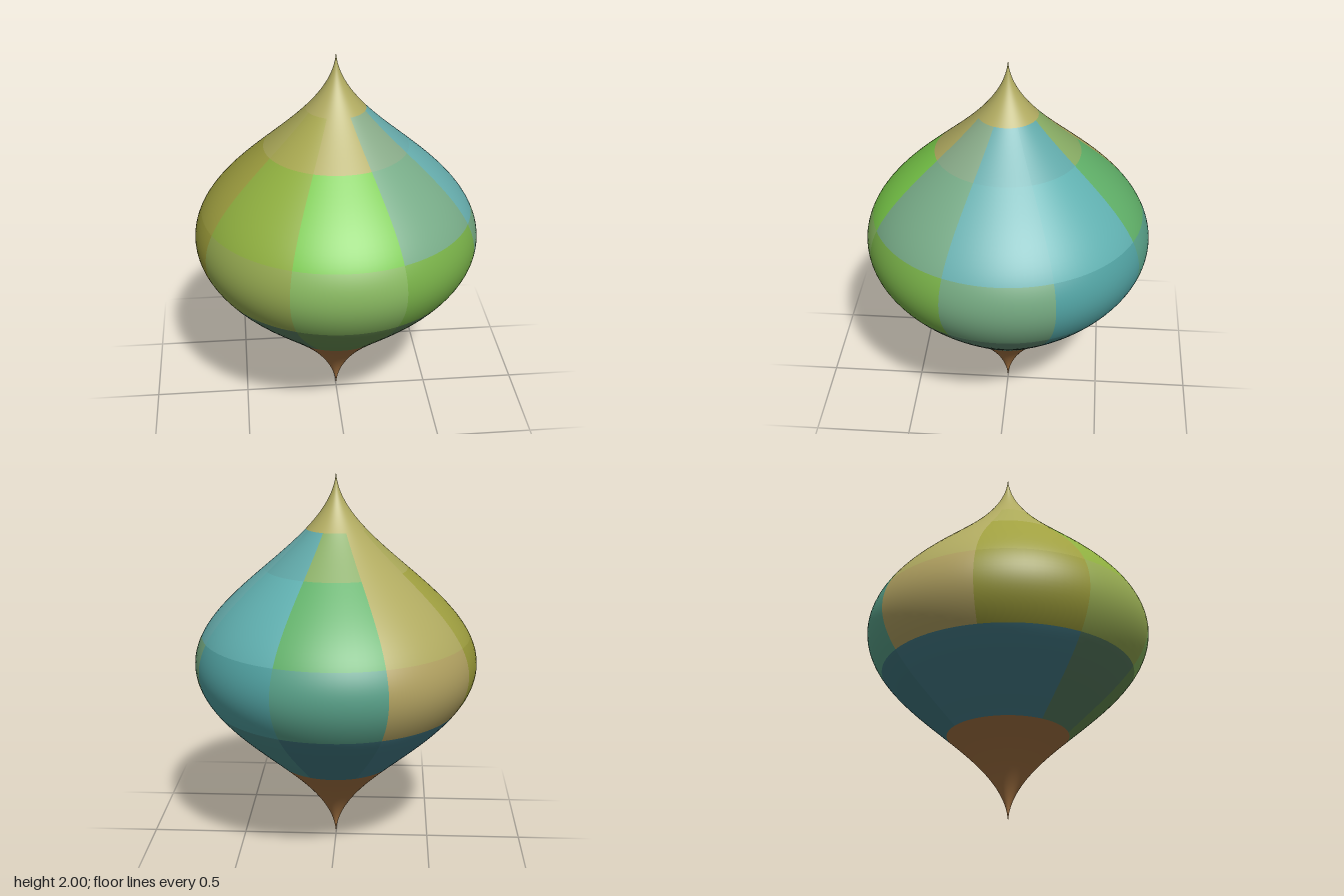
import * as THREE from 'three';

const RADIUS = 0.735;
const HEIGHT = 2;

// Cosine bulge: widest at mid height, drawn out to a cusp at each end
const radiusAt = (y) => (RADIUS * (1 - Math.cos(Math.PI * y))) / 2;
const slopeAt = (y) => (RADIUS * Math.PI * Math.sin(Math.PI * y)) / 2;

// One smooth piece of the revolved surface between two heights and two angles
function surfacePatch(name, color, y0, y1, start, sweep, rows, columns) {
  const profile = [];
  for (let i = 0; i <= rows; i++) {
    const y = y0 + ((y1 - y0) * i) / rows;
    profile.push(new THREE.Vector2(Math.max(radiusAt(y), 0), y));
  }
  const geometry = new THREE.LatheGeometry(profile, columns, start, sweep);

  // Exact normals, so neighbouring pieces shade as one surface
  const position = geometry.attributes.position;
  const normal = new THREE.Vector3();
  for (let i = 0; i < position.count; i++) {
    const column = Math.floor(i / (rows + 1));
    const angle = start + (sweep * column) / columns;
    normal.set(Math.sin(angle), -slopeAt(position.getY(i)), Math.cos(angle)).normalize();
    geometry.attributes.normal.setXYZ(i, normal.x, normal.y, normal.z);
  }

  const mesh = new THREE.Mesh(geometry, new THREE.MeshStandardMaterial({ color }));
  mesh.name = name;
  return mesh;
}

export function createModel() {
  const model = new THREE.Group();
  model.name = 'spindleBulb';

  // Pointed ends
  const full = Math.PI * 2;
  const sector = full / 8;
  const offset = -sector / 2;
  model.add(surfacePatch('bottomTip', 0xa07040, 0, 0.45, offset, full, 24, 96));
  model.add(surfacePatch('topTip', 0xb0aa60, 1.7, HEIGHT, offset, full, 18, 96));

  // Colours of the bulging body, sector by sector from the front towards +x,
  // each from the lowest band to the highest
  const levels = [0.45, 0.78, 1.15, 1.5, 1.7];
  const colors = [
    [0x668c50, 0x88b860, 0x78c848, 0xb0aa60],
    [0x5f8058, 0x78b048, 0x78ac88, 0x88aa88],
    [0x608870, 0x74a880, 0x68b0b0, 0x68acac],
    [0x4a8a88, 0x50a0a0, 0x60b0b0, 0x60a8a8],
    [0x407880, 0x58a088, 0x60b068, 0x88ac64],
    [0x447c88, 0xb0a060, 0xb0aa60, 0xb0aa60],
    [0x447c88, 0x989838, 0xa0a040, 0xaaa858],
    [0x587c60, 0x94a850, 0x90b040, 0xa8a850],
  ];
  const body = new THREE.Group();
  body.name = 'body';
  colors.forEach((bands, s) => {
    bands.forEach((color, b) => {
      body.add(surfacePatch('bodyPatch', color, levels[b], levels[b + 1], offset + s * sector, sector, 14, 12));
    });
  });
  model.add(body);

  return model;
}
